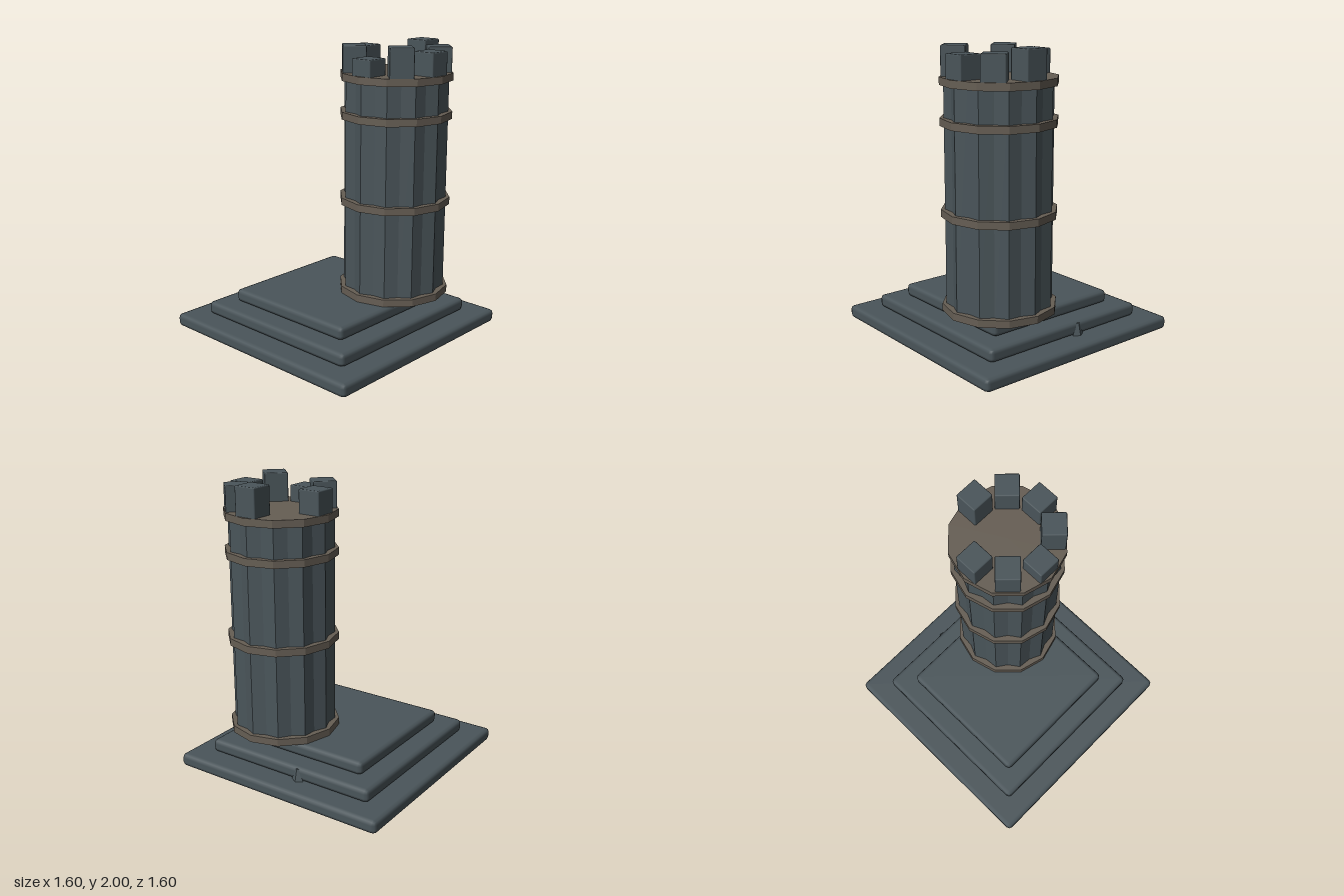
import * as THREE from 'three';
import { RoundedBoxGeometry } from 'three/addons/geometries/RoundedBoxGeometry.js';

export function createModel() {
  const model = new THREE.Group();
  model.name = 'ruinedTower';

  const slate = new THREE.MeshStandardMaterial({ color: 0x4a555a });
  slate.name = 'slateStone';
  const brown = new THREE.MeshStandardMaterial({ color: 0x665e54 });
  brown.name = 'brownStone';

  function add(parent, name, geometry, material, x, y, z) {
    const mesh = new THREE.Mesh(geometry, material);
    mesh.name = name;
    mesh.position.set(x, y, z);
    parent.add(mesh);
    return mesh;
  }

  // Faceted geometry: every face keeps its own normal
  function faceted(geometry) {
    const flat = geometry.toNonIndexed();
    flat.computeVertexNormals();
    return flat;
  }

  // Three stepped slabs with bevelled edges
  [0.8, 0.642, 0.503].forEach((half, i) => {
    add(model, 'baseStep' + (i + 1),
      new RoundedBoxGeometry(2 * half, 0.092, 2 * half, 1, 0.03),
      slate, 0, 0.046 + i * 0.09, 0);
  });

  const tower = new THREE.Group();
  tower.name = 'tower';
  tower.position.set(0.28, 0, 0.28);
  model.add(tower);

  // Fluted shaft: twelve ridges with shallow valleys between them
  const shaft = new THREE.CylinderGeometry(1, 1, 1.53, 24, 1);
  const pos = shaft.attributes.position;
  for (let i = 0; i < pos.count; i++) {
    const x = pos.getX(i), z = pos.getZ(i);
    if (Math.hypot(x, z) < 0.5) continue; // cap centres
    const step = Math.round(Math.atan2(x, z) / (Math.PI / 12));
    const r = step % 2 === 0 ? 0.353 : 0.325;
    pos.setX(i, x * r);
    pos.setZ(i, z * r);
  }
  add(tower, 'shaft', faceted(shaft), slate, 0, 0.263 + 0.765, 0);

  // Brown courses; the top one forms the floor of the parapet
  [0.297, 0.935, 1.525, 1.782].forEach((y, i) => {
    add(tower, 'band' + (i + 1),
      faceted(new THREE.CylinderGeometry(0.38, 0.38, 0.05, 12)), brown, 0, y, 0);
  });

  // Battlements at 45 degree steps from the model's left; one is missing
  const tops = [2.0, 1.975, 1.962, 2.0, 1.918, 1.985, 1.965];
  tops.forEach((top, i) => {
    const a = (i * Math.PI) / 4;
    const h = top - 1.795;
    const merlon = add(tower, 'merlon' + (i + 1),
      new RoundedBoxGeometry(0.157, h, 0.157, 1, 0.008), slate,
      0.282 * Math.cos(a), 1.795 + h / 2, 0.282 * Math.sin(a));
    merlon.rotation.y = -a;
  });

  // Small loose stone against the middle step
  const stone = add(model, 'looseStone',
    faceted(new THREE.CylinderGeometry(0.012, 0.048, 0.085, 4)), slate, 0.64, 0.13, -0.095);
  stone.scale.x = 0.6;

  return model;
}
